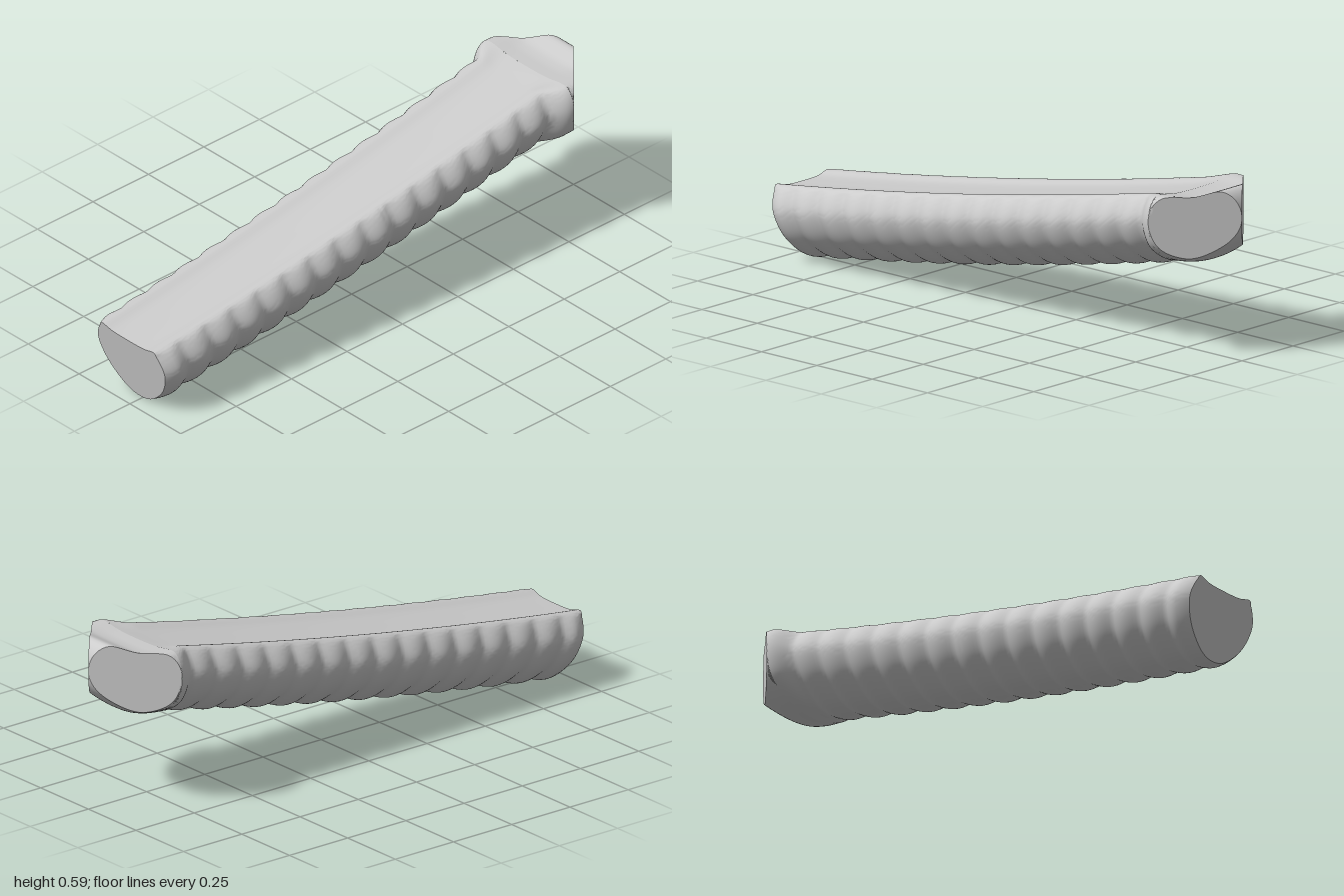
import * as THREE from 'three';
import { toCreasedNormals } from 'three/addons/utils/BufferGeometryUtils.js';

const SAMPLES = 48;
const { lerp, clamp, smoothstep } = THREE.MathUtils;

// Cross-section from top centre to bottom centre as [distance from centre, depth below rim]
function halfProfile(pts) {
  const mirrored = pts.slice(1, -1).reverse().map(([x, d]) => [-x, d]);
  const curve = new THREE.CatmullRomCurve3(
    [...pts, ...mirrored].map(([x, d]) => new THREE.Vector3(x, d, 0)), true);
  return (u) => curve.getPoint(u / 2);
}

const beamProfile = halfProfile([
  [0, 0.016], [0.08, 0.013], [0.125, 0.002], [0.148, 0.008], [0.17, 0.033], [0.187, 0.075],
  [0.184, 0.11], [0.16, 0.165], [0.115, 0.215], [0.06, 0.252], [0, 0.264],
]);
const headProfile = halfProfile([
  [0, 0.015], [0.1, 0.012], [0.17, 0.002], [0.2, 0.006], [0.222, 0.03], [0.234, 0.075],
  [0.228, 0.13], [0.205, 0.18], [0.15, 0.222], [0.08, 0.248], [0, 0.256],
]);

// Closed ring: top centre, down the +x side, up the -x side
function ring(pointAt) {
  const out = [];
  for (let j = 0; j <= SAMPLES; j++) out.push(pointAt(j, 1));
  for (let j = SAMPLES - 1; j > 0; j--) out.push(pointAt(j, -1));
  return out;
}

// Skin a list of rings running from front to back
function loft(rings, capFront, crease) {
  const n = rings[0].length;
  const pos = rings.flat().flatMap((p) => [p.x, p.y, p.z]);
  const index = [];
  for (let i = 0; i < rings.length - 1; i++) {
    for (let j = 0; j < n; j++) {
      const a = i * n + j, b = i * n + ((j + 1) % n);
      index.push(a, b, a + n, b, b + n, a + n);
    }
  }
  if (capFront) {
    const c = new THREE.Vector3();
    rings[0].forEach((p) => c.addScaledVector(p, 1 / n));
    pos.push(c.x, c.y, c.z);
    for (let j = 0; j < n; j++) index.push(rings.length * n, (j + 1) % n, j);
  }
  const g = new THREE.BufferGeometry();
  g.setAttribute('position', new THREE.Float32BufferAttribute(pos, 3));
  g.setIndex(index);
  return toCreasedNormals(g, crease);
}

// Sloping beam with a shallow trough on top and softly scalloped sides and underside
function beamRing(z) {
  const t = (1 - z) / 1.79;
  const rim = 0.267 + 0.313 * t - 0.085 * t * (1 - t);
  const flare = 1 - smoothstep(z, -0.79, -0.7);
  const phase = Math.sin(Math.PI * (14.5 * clamp((0.96 - z) / 1.68, 0, 1) + 0.5));
  const groove = (1 - Math.sqrt(phase * phase * 0.97 + 0.03)) * (1 - flare);
  const end = Math.pow(clamp((z - 0.94) / 0.06, 0, 1), 2); // rounded front edge
  const skew = lerp(0.22, 0, t);
  return ring((j, side) => {
    const u = j / SAMPLES;
    const p = beamProfile(u), h = headProfile(u);
    const w = clamp((u - 0.2) / 0.15, 0, 1);
    const x = p.x * (1 + 0.08 * t) * (1 - 0.1 * groove * w) * (1 - 0.13 * end * w);
    const d = p.y * (1 - 0.055 * groove * w) * (1 - 0.03 * end);
    const depth = lerp(d, h.y, flare);
    return new THREE.Vector3(
      side * lerp(x, h.x, flare) - lerp(0.012, 0.002, t), rim - depth, z - skew * depth);
  });
}

// Parameter between wide and narrow ends at which the head profile has half-width w
function findWidth(w, narrow, wide) {
  for (let i = 0; i < 30; i++) {
    const mid = (narrow + wide) / 2;
    if (headProfile(mid).x < w) narrow = mid;
    else wide = mid;
  }
  return (narrow + wide) / 2;
}

// Wedge-shaped head: the section is cut by two upright faces meeting at a rounded nose
function headRing(s) {
  const w = 0.234 * (1 - s);
  const uTop = findWidth(w, 0, 0.5), uLow = findWidth(w, 1, 0.5);
  const rim = 0.58 + 0.016 * smoothstep(s, 0.4, 0.8);
  const trough = 1 - smoothstep(s, 0.2, 0.8);
  const topScale = Math.sqrt(1 - Math.pow(clamp((s - 0.72) / 0.28, 0, 1), 2));
  const lowScale = Math.sqrt(1 - s * s);
  const third = SAMPLES / 3;
  const top = headProfile(uTop), low = headProfile(uLow);
  return ring((j, side) => {
    let p; // top surface, cut face, underside
    if (j <= third) p = headProfile((uTop * j) / third);
    else if (j < 2 * third) p = top.clone().lerp(low, j / third - 1);
    else p = headProfile(lerp(uLow, 1, j / third - 2));
    const dy = rim - (p.y < 0.016 ? p.y * trough : p.y) - 0.5;
    return new THREE.Vector3(
      side * p.x - 0.002 * (1 - s),
      0.5 + dy * (dy > 0 ? topScale : lowScale),
      -0.79 - 0.21 * s);
  });
}

export function createModel() {
  const group = new THREE.Group();
  const material = new THREE.MeshStandardMaterial({ color: 0xcccccc });
  const add = (name, geometry) => {
    const mesh = new THREE.Mesh(geometry, material);
    mesh.name = name;
    group.add(mesh);
  };

  const beamRings = [1, 0.994, 0.985, 0.975].map(beamRing);
  for (let i = 0; i <= 145; i++) beamRings.push(beamRing(0.96 - (1.68 * i) / 145));
  for (let i = 1; i <= 8; i++) beamRings.push(beamRing(-0.72 - (0.07 * i) / 8));
  add('scallopedBeam', loft(beamRings, true, 0.7));

  const headRings = [];
  for (let k = 0; k <= 32; k++) headRings.push(headRing((1 - Math.cos((Math.PI * k) / 32)) / 2));
  add('wedgeHead', loft(headRings, false, 0.6));

  return group;
}
